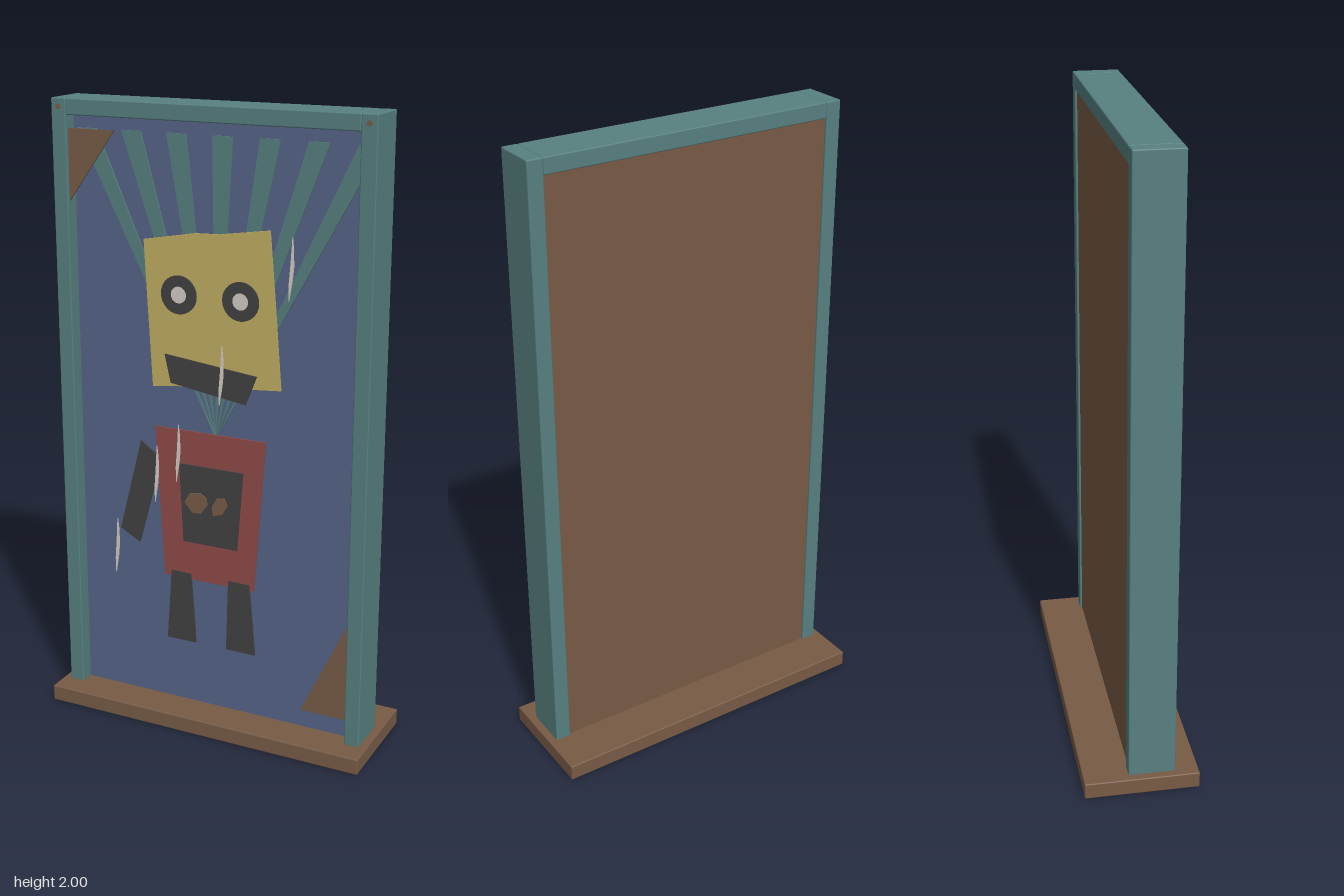
import * as THREE from 'three';
import { RoundedBoxGeometry } from 'three/addons/geometries/RoundedBoxGeometry.js';

const material = (name, color) => {
  const m = new THREE.MeshStandardMaterial({ color });
  m.name = name;
  return m;
};

export function createModel() {
  const model = new THREE.Group();
  model.name = 'paintedPanel';
  const teal = material('teal', 0x578080);
  const brown = material('brown', 0x785b45);
  const blue = material('blue', 0x556488);
  const yellow = material('yellow', 0xc0ae63);
  const red = material('red', 0x904b48);
  const dark = material('charcoal', 0x424242);
  const pale = material('pale', 0xd2cdc4);

  const add = (name, geometry, mat, parent = model) => {
    const mesh = new THREE.Mesh(geometry, mat);
    mesh.name = name;
    parent.add(mesh);
    return mesh;
  };
  // Box given by its minimum and maximum corners
  const box = (name, [x0, y0, z0], [x1, y1, z1], mat, r = 0.004) => {
    const g = r ? new RoundedBoxGeometry(x1 - x0, y1 - y0, z1 - z0, 2, r)
      : new THREE.BoxGeometry(x1 - x0, y1 - y0, z1 - z0);
    g.translate((x0 + x1) / 2, (y0 + y1) / 2, (z0 + z1) / 2);
    return add(name, g, mat);
  };
  // Thin flat cut-out whose front face lies at z
  const plate = (name, shape, z, mat, depth = 0.005) => {
    const g = new THREE.ExtrudeGeometry(shape, { depth, bevelEnabled: false, curveSegments: 14 });
    g.translate(0, 0, z - depth);
    return add(name, g, mat);
  };
  const poly = (...pts) => new THREE.Shape(pts.map(([x, y]) => new THREE.Vector2(x, y)));
  const disc = (x, y, r) => new THREE.Shape().absarc(x, y, r, 0, Math.PI * 2, false);

  // Base, frame and backing panel
  box('base', [-0.55, 0, -0.18], [0.55, 0.053, 0.18], brown);
  for (const [name, s] of [['left', 1], ['right', -1]]) {
    const x = s * 0.5;
    box(name + 'Post', [x - 0.025, 0.05, -0.04], [x + 0.025, 2, 0.107], teal);
    plate(name + 'Screw', disc(x, 1.974, 0.008), 0.109, brown);
  }
  box('topRail', [-0.475, 1.95, -0.04], [0.475, 2, 0.107], teal);
  box('backBoard', [-0.476, 0.05, -0.033], [0.476, 1.951, 0.055], brown, 0);
  box('bluePanel', [-0.476, 0.05, 0.055], [0.476, 1.951, 0.06], blue, 0);

  // Fan of rays rising behind the head
  const edge = 0.475, top = 1.91, apex = [0.01, 0.98];
  for (let i = 0; i < 7; i++) {
    const c = -0.425 + i * 0.1525;
    const l = c - 0.033, r = c + 0.033;
    const pts = [apex];
    if (r > edge) {
      // The last ray is cut off by the post
      const t = (edge - apex[0]) / (r - apex[0]);
      pts.push([edge, apex[1] + t * (top - apex[1])], [edge, top]);
    } else pts.push([r, top]);
    pts.push([Math.max(l, -edge), top]);
    plate('ray', poly(...pts), 0.068, teal);
  }

  // Corner brackets
  plate('upperCorner', poly([-0.475, 1.91], [-0.475, 1.69], [-0.315, 1.91]), 0.095, brown);
  plate('lowerCorner', poly([0.475, 0.46], [0.32, 0.13], [0.475, 0.13]), 0.095, brown);

  // Head
  plate('head', poly([-0.225, 1.59], [-0.215, 1.4], [-0.2, 1.13], [-0.1, 1.142], [0.235, 1.17],
    [0.215, 1.42], [0.195, 1.65], [0.03, 1.625], [-0.05, 1.622]), 0.085, yellow);
  for (const x of [-0.105, 0.102]) {
    const ring = disc(x, 1.43, 0.06);
    ring.holes.push(new THREE.Path().absarc(x, 1.43, 0.026, 0, Math.PI * 2, true));
    plate('eyeRing', ring, 0.09, dark);
    plate('pupil', disc(x, 1.43, 0.026), 0.09, pale);
  }
  plate('mouth', poly([-0.155, 1.24], [-0.135, 1.15], [0.12, 1.112], [0.157, 1.205]), 0.09, dark);

  // Torso with chest plate and two brown marks
  plate('torso', poly([-0.195, 1], [-0.165, 0.5], [0.15, 0.5], [0.187, 1]), 0.085, red);
  plate('chestPlate', poly([-0.108, 0.89], [-0.095, 0.63], [0.093, 0.63], [0.113, 0.89]), 0.09, dark);
  plate('roundMark', poly([-0.088, 0.765], [-0.06, 0.733], [-0.03, 0.735], [-0.008, 0.765],
    [-0.012, 0.79], [-0.035, 0.803], [-0.07, 0.797]), 0.094, brown);
  plate('curvedMark', poly([0.008, 0.765], [0.012, 0.735], [0.045, 0.745], [0.062, 0.775],
    [0.05, 0.8], [0.025, 0.795]), 0.094, brown);

  // Limbs
  plate('arm', poly([-0.245, 0.945], [-0.325, 0.635], [-0.255, 0.597], [-0.183, 0.86], [-0.187, 0.905]), 0.088, dark);
  plate('rightLeg', poly([-0.14, 0.52], [-0.157, 0.28], [-0.053, 0.28], [-0.07, 0.52]), 0.088, dark);
  plate('leftLeg', poly([0.062, 0.52], [0.055, 0.28], [0.157, 0.28], [0.135, 0.52]), 0.088, dark);

  // Narrow pale splinters scattered over the figure
  const splinters = [[0.27, 1.54], [0.043, 1.19], [-0.184, 0.84], [-0.107, 0.92], [-0.333, 0.57]];
  for (const [x, y] of splinters) {
    plate('splinter', poly([x + 0.002, y + 0.1], [x - 0.003, y + 0.02], [x - 0.008, y - 0.04], [x - 0.007, y - 0.09],
      [x + 0.003, y - 0.03], [x + 0.007, y + 0.01], [x + 0.006, y + 0.06]), 0.1, pale);
  }
  return model;
}
